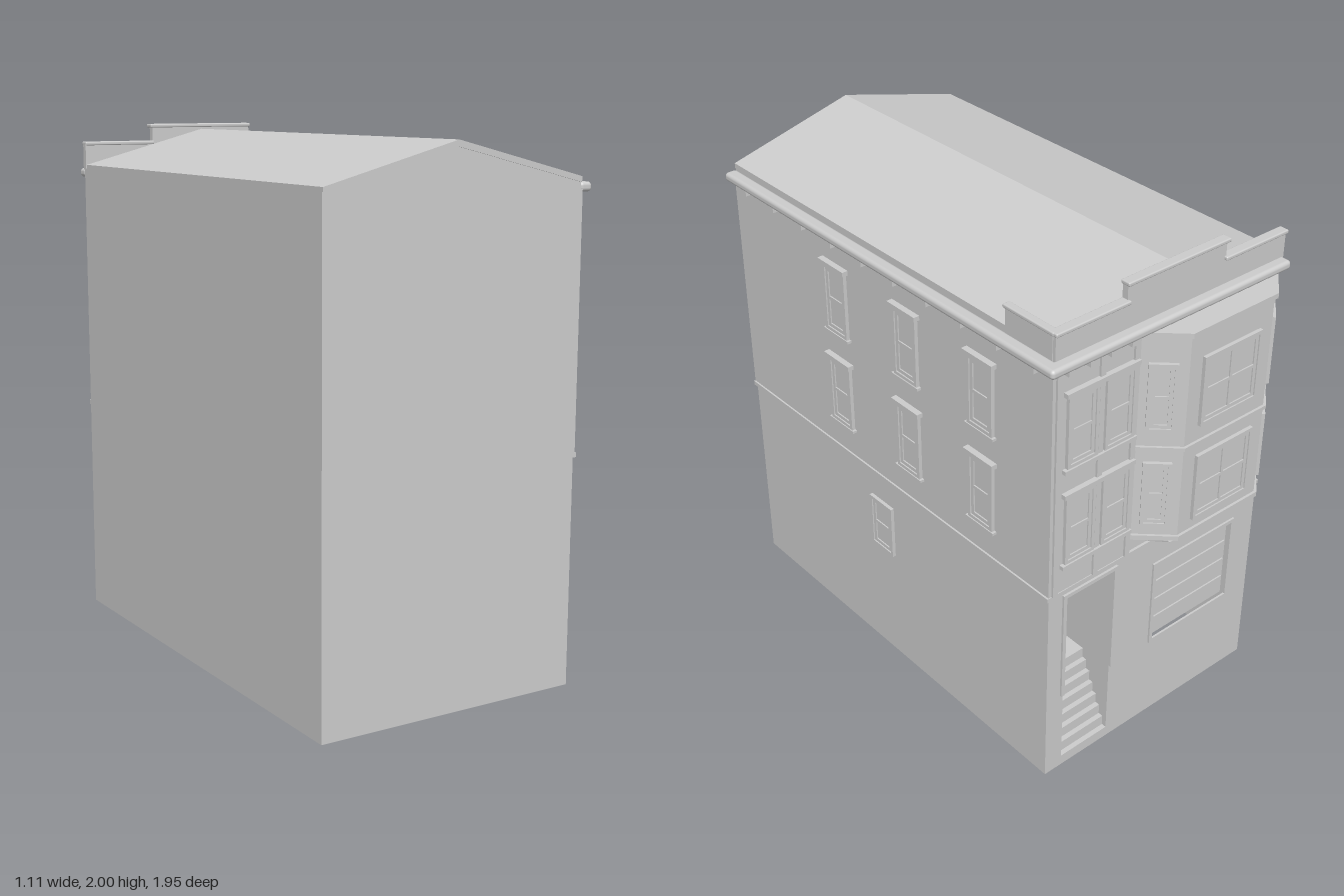
import * as THREE from 'three';
import { RoundedBoxGeometry } from 'three/addons/geometries/RoundedBoxGeometry.js';

export function createModel() {
  const model = new THREE.Group();
  model.name = 'townhouse';
  const plaster = new THREE.MeshStandardMaterial({ color: 0xcccccc, side: THREE.DoubleSide });
  plaster.name = 'plasterGrey';

  const add = (name, geo, parent = model) => {
    const m = new THREE.Mesh(geo, plaster);
    m.name = name;
    parent.add(m);
    return m;
  };
  // box given by its limits on each axis
  const box = (name, x0, x1, y0, y1, z0, z1, parent = model, round = 0) => {
    const s = [x1 - x0, y1 - y0, z1 - z0];
    const m = add(name, round ? new RoundedBoxGeometry(...s, 3, round) : new THREE.BoxGeometry(...s), parent);
    m.position.set((x0 + x1) / 2, (y0 + y1) / 2, (z0 + z1) / 2);
    return m;
  };
  const shapeOf = pts => new THREE.Shape(pts.map(p => new THREE.Vector2(...p)));
  const rect = (x0, x1, y0, y1) => [[x0, y0], [x1, y0], [x1, y1], [x0, y1]];
  const extrude = (shape, depth) => new THREE.ExtrudeGeometry(shape, { depth, bevelEnabled: false });
  const frameGeo = (w, h, t, depth) => {
    const s = shapeOf(rect(-w / 2, w / 2, -h / 2, h / 2));
    s.holes.push(shapeOf(rect(-w / 2 + t, w / 2 - t, -h / 2 + t, h / 2 - t)));
    return extrude(s, depth);
  };

  const L = -0.555, R = 0.5, F = -0.84, B = 0.97, EAVE = 1.825, RIDGE = 1.955, RX = -0.03;
  const door = { x0: 0.19, x1: 0.42, top: 0.82 };

  // outer walls, open underneath
  const gable = [[R, EAVE], [RX, RIDGE], [L, EAVE]];
  add('backWall', new THREE.ShapeGeometry(shapeOf([[L, 0], [R, 0], ...gable]))).position.z = B;
  const street = shapeOf([[L, 0], [door.x0, 0], [door.x0, door.top], [door.x1, door.top], [door.x1, 0], [R, 0], ...gable]);
  street.holes.push(shapeOf(rect(-0.43, -0.025, 0.37, 0.725)));
  const sw = add('streetWall', new THREE.ShapeGeometry(street));
  sw.position.z = F;
  // turn the triangles outward so the wall faces the street
  const idx = sw.geometry.index.array;
  for (let i = 0; i < idx.length; i += 3) [idx[i], idx[i + 1]] = [idx[i + 1], idx[i]];
  sw.geometry.computeVertexNormals();
  for (const [name, x, s] of [['partyWall', L, -1], ['sideWall', R, 1]]) {
    const w = add(name, new THREE.PlaneGeometry(B - F, EAVE));
    w.rotation.y = s * Math.PI / 2;
    w.position.set(x, EAVE / 2, (B + F) / 2);
  }

  // pitched roof slab
  const roof = shapeOf([[L, EAVE], [RX, RIDGE], [R, EAVE], [R, EAVE + 0.02], [RX, RIDGE + 0.023], [L, EAVE + 0.015]]);
  add('roof', extrude(roof, 1.795)).position.z = -0.82;

  // upper storey cladding and belt course
  box('sideCladding', R, 0.508, 0.865, 1.8, F - 0.005, B);
  box('streetCladding', 0.12, 0.508, 0.865, 1.8, F - 0.007, F);
  box('sideBelt', R, 0.515, 0.85, 0.867, F - 0.008, B);
  box('streetBelt', L, 0.515, 0.85, 0.867, F - 0.01, F);

  // cornice with small brackets
  box('sideCornice', R, 0.553, 1.79, 1.825, -0.893, B, model, 0.014);
  box('streetCornice', L, 0.553, 1.79, 1.825, -0.893, F, model, 0.014);
  for (let i = 0; i < 10; i++) {
    const z = 0.86 - i * 0.182;
    box('sideBracket', R, 0.54, 1.765, 1.792, z - 0.013, z + 0.013);
  }
  for (let i = 0; i < 4; i++) {
    const x = 0.18 + i * 0.092;
    box('streetBracket', x - 0.013, x + 0.013, 1.765, 1.792, -0.878, F);
  }

  // stepped parapet and its return along the side
  const parapet = (x0, x1, top) => {
    box('parapet', x0, x1, 1.82, top - 0.012, -0.852, -0.828);
    box('parapetCap', x0 - (x0 > L ? 0.008 : 0), x1 + 0.008, top - 0.015, top, -0.865, -0.825, model, 0.005);
  };
  parapet(L, -0.255, 1.932);
  parapet(-0.255, 0.2, 2.0);
  parapet(0.2, 0.505, 1.932);
  box('parapetReturn', 0.49, 0.508, 1.82, 1.92, -0.84, -0.615);
  box('parapetReturnCap', 0.485, 0.515, 1.917, 1.932, -0.85, -0.61, model, 0.005);

  // sash window facing local +z, centred on its opening
  const windowUnit = (name, w, h, x, y, z, angle, { hood = false, cross = false } = {}) => {
    const g = new THREE.Group();
    g.name = name;
    add('casing', frameGeo(w, h, 0.013, 0.014), g);
    add('sash', frameGeo(w - 0.026, h - 0.026, 0.014, 0.009), g);
    box('glass', -w / 2 + 0.02, w / 2 - 0.02, -h / 2 + 0.02, h / 2 - 0.02, 0, 0.004, g);
    box('meetingRail', -w / 2 + 0.02, w / 2 - 0.02, -0.006, 0.006, 0, 0.009, g);
    if (cross) box('mullion', -0.006, 0.006, -h / 2 + 0.02, h / 2 - 0.02, 0, 0.009, g);
    if (hood) {
      box('hood', -w / 2 - 0.012, w / 2 + 0.012, h / 2, h / 2 + 0.018, 0, 0.024, g);
      box('sill', -w / 2 - 0.01, w / 2 + 0.01, -h / 2 - 0.01, -h / 2, 0, 0.018, g);
    }
    g.position.set(x, y, z);
    g.rotation.y = angle;
    model.add(g);
  };
  const floors = [1.13, 1.53];
  for (const y of floors) {
    for (const z of [0.325, -0.09, -0.498]) windowUnit('sideWindow', 0.13, 0.275, 0.508, y, z, Math.PI / 2, { hood: true });
    for (const x of [0.212, 0.38]) windowUnit('streetWindow', 0.135, 0.28, x, y, F - 0.007, Math.PI);
    box('streetWindowHead', 0.135, 0.46, y + 0.142, y + 0.16, -0.867, F);
    box('streetWindowSill', 0.135, 0.46, y - 0.158, y - 0.142, -0.865, F);
  }
  for (const x of [0.142, 0.296, 0.484]) box('streetPilaster', x - 0.011, x + 0.011, 0.867, 1.79, -0.856, F);
  windowUnit('lowerSideWindow', 0.135, 0.23, R, 0.615, 0.113, Math.PI / 2);

  // bay: a three-sided plan grown outward by o
  const bayPlan = o => shapeOf([[-0.53 - o * 1.4, 0.84], [0.125 + o * 1.4, 0.84], [o * 0.4, 0.958 + o], [-0.4 - o * 0.4, 0.958 + o]]);
  const baySlab = (name, y0, y1, o) => {
    const m = add(name, extrude(bayPlan(o), y1 - y0));
    m.rotation.x = -Math.PI / 2;
    m.position.y = y0;
  };
  baySlab('bay', 0.935, 1.775, 0);
  baySlab('bayBase', 0.93, 0.95, 0.01);
  baySlab('bayBelt', 1.315, 1.33, 0.01);
  baySlab('bayCornice', 1.765, 1.785, 0.012);
  for (const y of floors) {
    windowUnit('bayFrontWindow', 0.28, 0.275, -0.2, y, -0.958, Math.PI, { cross: true });
    windowUnit('baySideWindow', 0.1, 0.27, 0.0625, y, -0.899, Math.atan2(0.118, -0.125));
    windowUnit('baySideWindow', 0.1, 0.27, -0.465, y, -0.899, Math.atan2(-0.118, -0.13));
  }
  // triangular corbels under the bay
  const corbel = extrude(shapeOf([[F, 0.87], [F, 0.932], [-0.955, 0.932]]), 0.035);
  for (let i = 0; i < 5; i++) {
    const c = add('bayCorbel', corbel);
    c.rotation.y = -Math.PI / 2;
    c.position.x = -0.385 + i * 0.1 + 0.0175;
  }

  // garage door with four panels, set back in a frame
  const gf = add('garageFrame', frameGeo(0.43, 0.38, 0.015, 0.008));
  gf.position.set(-0.2275, 0.5475, F - 0.008);
  box('garageDoor', -0.43, -0.025, 0.37, 0.725, -0.822, -0.812);
  for (let i = 0; i < 4; i++) {
    const y = 0.375 + i * 0.0875;
    box('garagePanel', -0.42, -0.035, y, y + 0.08, -0.829, -0.822);
  }

  // recessed entry: cheeks, ceiling, landing, door and steps
  const { x0, x1, top } = door, inner = -0.6, landing = 0.35, run = 0.16, steps = 8;
  const cheek = extrude(shapeOf([[F, 0], [F, top], [inner, top], [inner, landing - 0.02], [F + run, landing - 0.02]]), 0.004);
  for (const x of [x0, x1 + 0.004]) {
    const m = add('entryCheek', cheek);
    m.rotation.y = -Math.PI / 2;
    m.position.x = x;
  }
  box('entryCeiling', x0, x1, top, top + 0.005, F, inner);
  box('entryLanding', x0, x1, landing - 0.02, landing, F + run, inner);
  box('entryBack', x0, x1, landing, top, inner, inner + 0.01);
  const stair = [[F, 0]];
  for (let i = 0; i < steps; i++) {
    const y = (i + 1) * landing / steps;
    stair.push([F + i * run / steps, y], [F + (i + 1) * run / steps, y]);
  }
  stair.push([F + run, landing - 0.03]);
  const st = add('entrySteps', extrude(shapeOf(stair), x1 - x0));
  st.rotation.y = -Math.PI / 2;
  st.position.x = x1;
  windowUnit('entryDoor', 0.15, 0.4, (x0 + x1) / 2, 0.56, inner, Math.PI);
  box('entryTrim', x0 - 0.015, x0, 0.36, top + 0.015, F - 0.009, F);
  box('entryTrim', x1, x1 + 0.015, 0.36, top + 0.015, F - 0.009, F);
  box('entryHead', x0, x1, top, top + 0.015, F - 0.009, F);

  return model;
}
